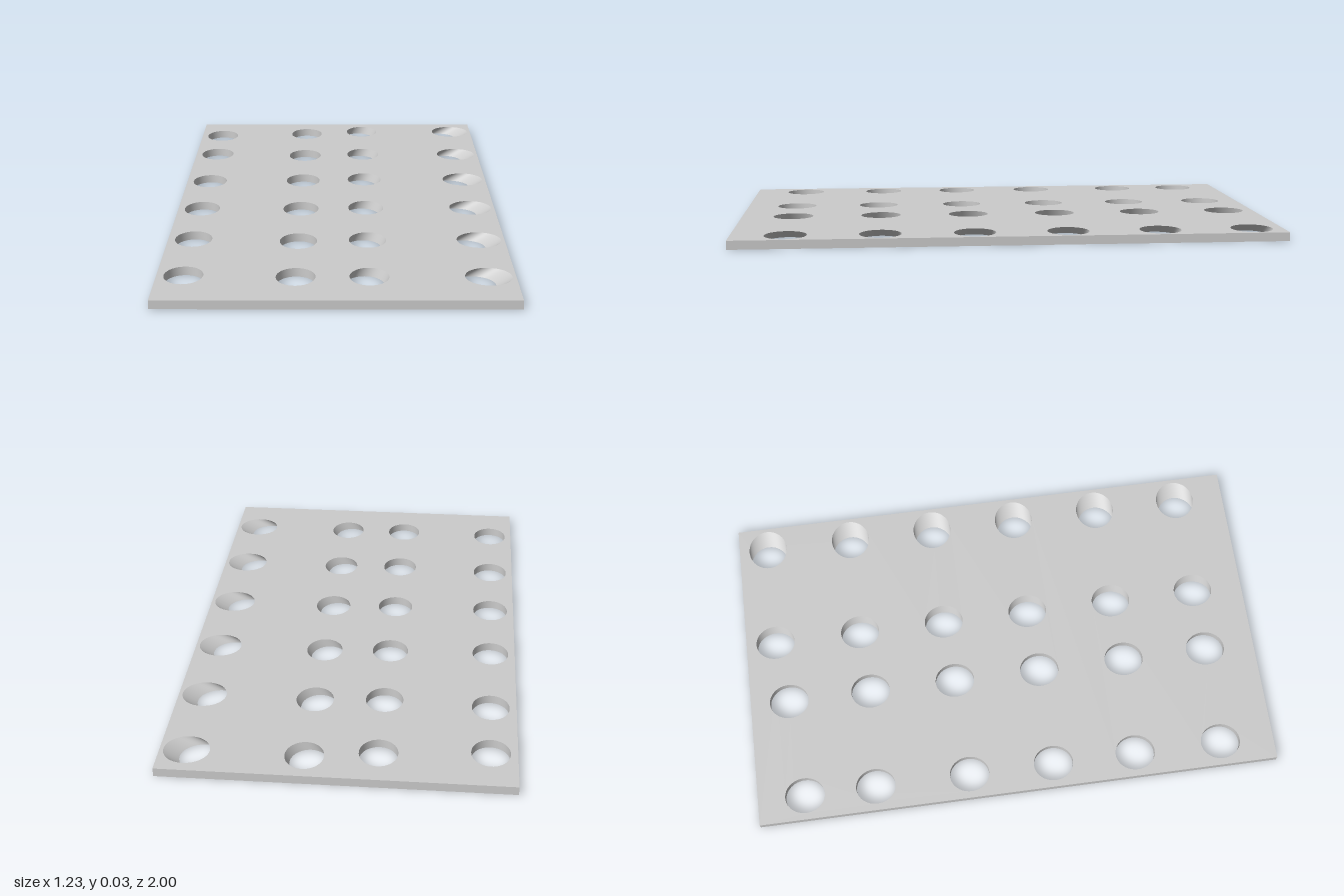
import * as THREE from 'three';

const T = 0.032, HX = 0.615, HZ = 1, SEG = 48;
const material = new THREE.MeshStandardMaterial({ color: 0xcccccc });

// Columns of holes: centre x and radius on the top face, sideways shift at the bottom face
const rowsStraight = [-0.885, -0.547, -0.21, 0.128, 0.467, 0.803];
const columns = [
  { x: -0.522, rx: 0.068, shift: 0, rows: [-0.82, -0.548, -0.186, 0.14, 0.459, 0.794] },
  { x: -0.138, rx: 0.068, shift: 0, rows: [-0.85, -0.53, -0.196, 0.14, 0.478, 0.806] },
  { x: 0.114, rx: 0.068, shift: -0.016, rows: rowsStraight },
  { x: 0.521, rx: 0.081, shift: -0.054, rows: rowsStraight },
];
const RZ = 0.076;

// Points of a hole rim as (x, z)
function rim(col, z, shift) {
  return Array.from({ length: SEG }, (_, i) => {
    const a = (i / SEG) * Math.PI * 2;
    return new THREE.Vector2(col.x + shift + col.rx * Math.cos(a), z + RZ * Math.sin(a));
  });
}

const outline = [[-HX, -HZ], [-HX, HZ], [HX, HZ], [HX, -HZ]].map(p => new THREE.Vector2(...p));

// Wall between a bottom loop and a top loop of (x, z) points
function wall(bottom, top) {
  const n = top.length, pos = [], index = [];
  for (let i = 0; i < n; i++) {
    pos.push(bottom[i].x, 0, bottom[i].y, top[i].x, T, top[i].y);
    const a = 2 * i, b = 2 * ((i + 1) % n);
    index.push(a, b, a + 1, b, b + 1, a + 1);
  }
  const g = new THREE.BufferGeometry();
  g.setAttribute('position', new THREE.Float32BufferAttribute(pos, 3));
  g.setIndex(index);
  return g;
}

// Perforated face; dir = 1 for the top, -1 for the bottom
function face(dir) {
  const flip = pts => pts.map(p => new THREE.Vector2(p.x, -dir * p.y));
  const shape = new THREE.Shape(flip(outline));
  for (const col of columns) {
    for (const z of col.rows) {
      shape.holes.push(new THREE.Path(flip(rim(col, z, dir > 0 ? 0 : col.shift))));
    }
  }
  const g = new THREE.ShapeGeometry(shape);
  g.rotateX(-dir * Math.PI / 2);
  if (dir > 0) g.translate(0, T, 0);
  return g;
}

export function createModel() {
  const model = new THREE.Group();
  model.name = 'perforatedPlate';
  const add = (geometry, name) => {
    const mesh = new THREE.Mesh(geometry, material);
    mesh.name = name;
    model.add(mesh);
  };

  add(face(1), 'topFace');
  add(face(-1), 'bottomFace');

  // Flat outer edge
  const edge = wall(outline, outline).toNonIndexed();
  edge.computeVertexNormals();
  add(edge, 'outerEdge');

  // Smooth hole walls, facing the inside of each hole
  columns.forEach((col, c) => col.rows.forEach((z, r) => {
    const g = wall(rim(col, z, col.shift), rim(col, z, 0));
    g.computeVertexNormals();
    add(g, `holeWall${c + 1}_${r + 1}`);
  }));
  return model;
}
